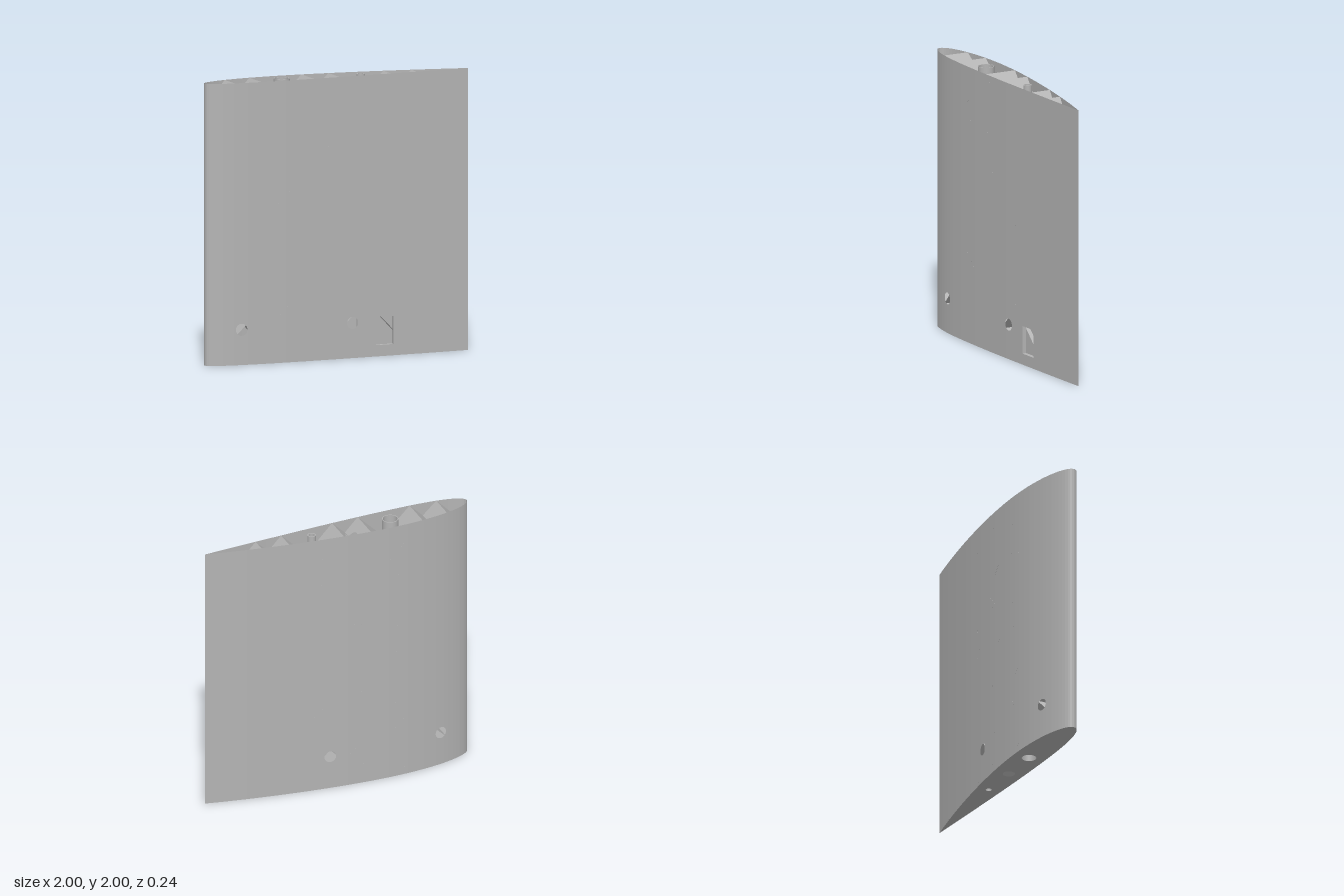
import * as THREE from 'three';

const HEIGHT = 2;
const CHORD_Z = 0.0355;

// Cambered airfoil section: side -1 is the back skin, +1 the front skin
function skinZ(x, side) {
  const t = Math.min(1, Math.max(0, (x + 1) / 2));
  const thick = 0.6 * (0.2969 * Math.sqrt(t) - 0.126 * t - 0.3516 * t ** 2 + 0.2843 * t ** 3 - 0.1036 * t ** 4);
  const camber = t < 0.4
    ? (0.02 / 0.16) * (0.8 * t - t * t)
    : (0.02 / 0.36) * (0.2 + 0.8 * t - t * t);
  return CHORD_Z + 2 * (side * thick - camber);
}
const backZ = (x) => skinZ(x, -1);
const frontZ = (x) => skinZ(x, 1);

// Chordwise stations, denser at the leading edge
const STATIONS = [];
for (let i = 0; i <= 32; i++) STATIONS.push(1 - 2 * Math.cos((Math.PI / 2) * (i / 32)));

// Openings: each gives its x samples and the gap it leaves at a given x
function roundHole(cx, cy, r) {
  const xs = [];
  for (let i = 0; i <= 14; i++) xs.push(cx - r * Math.cos((Math.PI * i) / 14));
  return {
    xs,
    gap: (x) => {
      const h = Math.sqrt(Math.max(0, r * r - (x - cx) ** 2));
      return [cy - h, cy + h];
    },
  };
}
const rectHole = (x0, x1, y0, y1) => ({ xs: [x0, x1], gap: () => [y0, y1] });

// Sheet made of columns along x, from lo(x) to hi(x), with openings left out
function sheet(x0, x1, lo, hi, holes, place) {
  const xs = [x0, x1, ...STATIONS, ...holes.flatMap((h) => h.xs)]
    .filter((x) => x >= x0 && x <= x1)
    .sort((a, b) => a - b)
    .filter((x, i, all) => i === 0 || x - all[i - 1] > 1e-5);
  const pos = [];
  const quad = (xa, xb, a0, a1, b0, b1) => {
    const p = [place(xa, a0), place(xb, b0), place(xb, b1), place(xa, a1)];
    for (const k of [0, 1, 2, 0, 2, 3]) pos.push(...p[k]);
  };
  for (let i = 0; i < xs.length - 1; i++) {
    const a = xs[i], b = xs[i + 1], mid = (a + b) / 2;
    const hole = holes.find((h) => mid > h.xs[0] && mid < h.xs[h.xs.length - 1]);
    if (hole) {
      const ga = hole.gap(a), gb = hole.gap(b);
      quad(a, b, lo(a), ga[0], lo(b), gb[0]);
      quad(a, b, ga[1], hi(a), gb[1], hi(b));
    } else {
      quad(a, b, lo(a), hi(a), lo(b), hi(b));
    }
  }
  const geo = new THREE.BufferGeometry();
  geo.setAttribute('position', new THREE.Float32BufferAttribute(pos, 3));
  geo.computeVertexNormals();
  return geo;
}

export function createModel() {
  const group = new THREE.Group();
  group.name = 'wingSection';
  const grey = new THREE.MeshStandardMaterial({ color: 0xb4b4b4, side: THREE.DoubleSide });
  grey.name = 'grey';
  const add = (name, geo) => {
    const mesh = new THREE.Mesh(geo, grey);
    mesh.name = name;
    group.add(mesh);
    return mesh;
  };

  // Outer skins with cross holes; the front one also has a hatch opening
  const crossHoles = [roundHole(-0.75, 0.25, 0.043), roundHole(0.1, 0.25, 0.043)];
  const hatch = { x0: 0.28, x1: 0.42, y0: 0.08, y1: 0.28 };
  const bottom = () => 0, top = () => HEIGHT;
  add('frontSkin', sheet(-1, 1, bottom, top,
    [...crossHoles, rectHole(hatch.x0, hatch.x1, hatch.y0, hatch.y1)], (x, y) => [x, y, frontZ(x)]));
  // Back skin is wound the other way so it also faces outward
  add('backSkin', sheet(-1, 1, top, bottom,
    crossHoles.map((h) => ({ xs: h.xs, gap: (x) => h.gap(x).reverse() })), (x, y) => [x, y, backZ(x)]));

  // Spar bores running the full height
  const bores = [roundHole(-0.4, 0, 0.052), roundHole(-0.1, 0, 0.043), roundHole(0.2, 0, 0.022)];
  add('rootPlate', sheet(-1, 1, backZ, frontZ, bores, (x, z) => [x, 0, z]));

  // Spar tubes: outer wall, inner wall and end ring
  for (const [x, outer, inner] of [[-0.4, 0.058, 0.052], [0.2, 0.03, 0.022]]) {
    const profile = [[inner, 0], [outer, 0], [outer, HEIGHT], [inner, HEIGHT], [inner, 0]];
    // Doubled corners keep the rims sharp
    const points = profile.flatMap(([r, y]) => [new THREE.Vector2(r, y), new THREE.Vector2(r, y)]);
    add('sparTube', new THREE.LatheGeometry(points.slice(1, -1), 28)).position.x = x;
  }

  // Lattice of 45 degree ribs; pairs repeat every 0.6 along the tip
  for (let k = -5; k <= 5; k++) {
    for (const tip of [-0.2 + 0.6 * k, 0.6 * k]) {
      for (const dir of [1, -1]) {
        const foot = tip - dir * HEIGHT;
        const x0 = Math.max(-1, Math.min(tip, foot));
        const x1 = Math.min(1, Math.max(tip, foot));
        // Ribs that would cross the hatch are left out
        if (x1 - x0 < 0.05 || (dir > 0 && tip > 2)) continue;
        add(dir > 0 ? 'risingRib' : 'fallingRib',
          sheet(x0, x1, backZ, frontZ, bores, (x, z) => [x, dir * (x - foot), z]));
      }
    }
  }

  // Shallow tray behind the hatch opening
  const depth = 0.03;
  const recess = (x) => frontZ(x) - depth;
  add('hatchFloor', sheet(hatch.x0, hatch.x1, () => hatch.y0, () => hatch.y1, [], (x, y) => [x, y, recess(x)]));
  for (const y of [hatch.y0, hatch.y1]) {
    add('hatchLedge', sheet(hatch.x0, hatch.x1, recess, frontZ, [], (x, z) => [x, y, z]));
  }
  for (const x of [hatch.x0, hatch.x1]) {
    const wall = add('hatchWall', new THREE.PlaneGeometry(depth, hatch.y1 - hatch.y0));
    wall.rotation.y = Math.PI / 2;
    wall.position.set(x, (hatch.y0 + hatch.y1) / 2, frontZ(x) - depth / 2);
  }
  return group;
}
